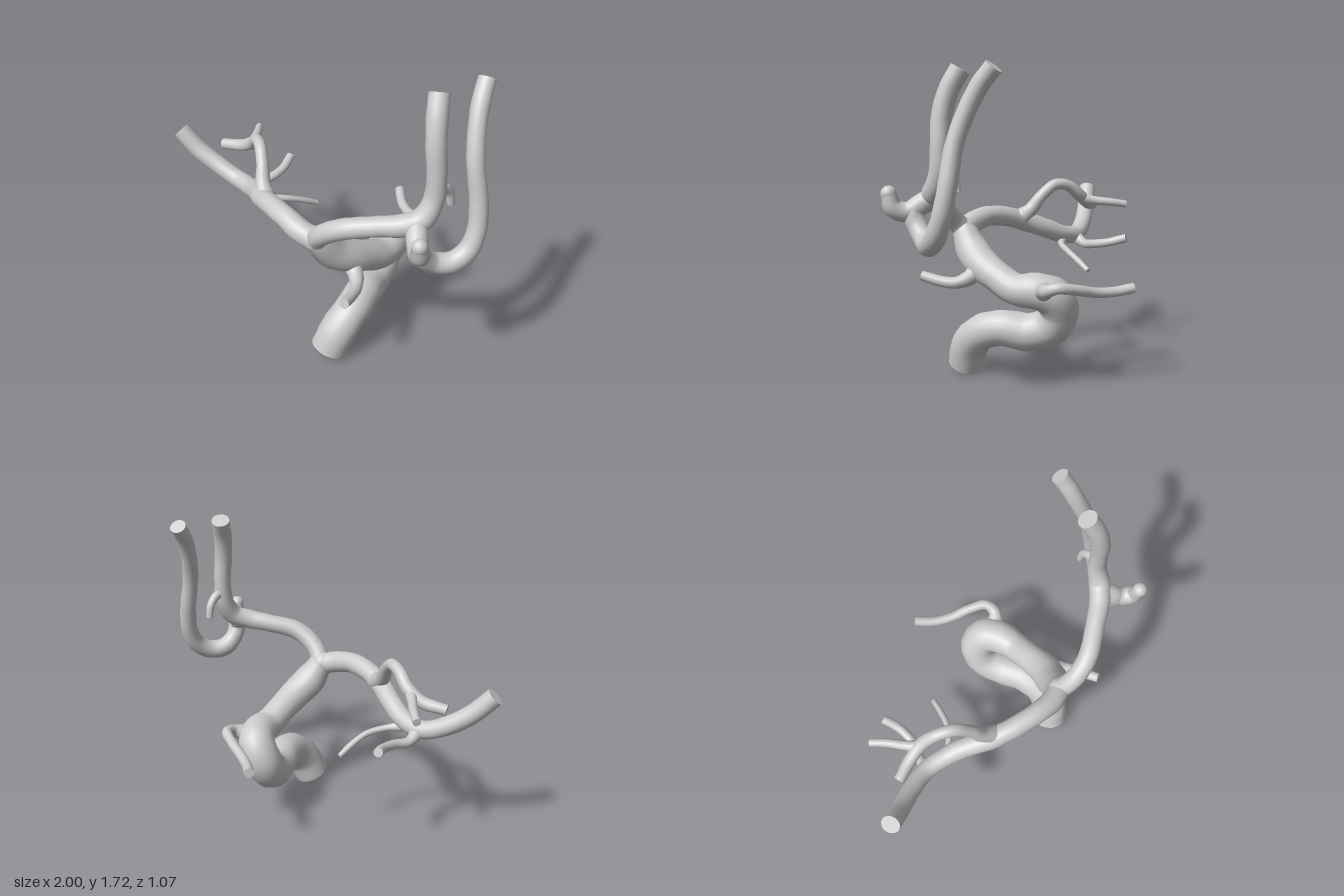
import * as THREE from 'three';

const SIDES = 20;
const material = new THREE.MeshStandardMaterial({ color: 0xcccccc, roughness: 0.8 });

// Flat disc closing one end ring of a tube
function endCap(center, ring, flip) {
  const pos = [center, ...ring].flatMap((p) => p.toArray());
  const index = [];
  for (let j = 1; j < ring.length; j++) index.push(0, flip ? j + 1 : j, flip ? j : j + 1);
  const geo = new THREE.BufferGeometry();
  geo.setAttribute('position', new THREE.Float32BufferAttribute(pos, 3));
  geo.setIndex(index);
  geo.computeVertexNormals();
  const capMaterial = material.clone();
  capMaterial.side = THREE.DoubleSide;
  return new THREE.Mesh(geo, capMaterial);
}

// Tube of varying radius through points [x, y, z, radius], slightly uneven like living tissue
function vessel(name, points) {
  const curve = new THREE.CatmullRomCurve3(points.map((p) => new THREE.Vector3(p[0], p[1], p[2])));
  const steps = Math.max(24, Math.round(curve.getLength() * 60));
  const geo = new THREE.TubeGeometry(curve, steps, 1, SIDES);
  const pos = geo.attributes.position;
  const nor = geo.attributes.normal;
  const n = new THREE.Vector3();
  const p = new THREE.Vector3();
  const rings = [[], []];
  for (let i = 0; i <= steps; i++) {
    const t = curve.getUtoTmapping(i / steps) * (points.length - 1);
    const k = Math.min(Math.floor(t), points.length - 2);
    const r = THREE.MathUtils.lerp(points[k][3], points[k + 1][3], THREE.MathUtils.smoothstep(t - k, 0, 1));
    const c = curve.getPointAt(i / steps);
    for (let j = 0; j <= SIDES; j++) {
      const v = i * (SIDES + 1) + j;
      n.fromBufferAttribute(nor, v);
      p.copy(c).addScaledVector(n, r);
      const bump = 1 + 0.025 * Math.sin(p.x * 37 + p.y * 23) * Math.sin(p.z * 41 - p.y * 29);
      p.copy(c).addScaledVector(n, r * bump);
      pos.setXYZ(v, p.x, p.y, p.z);
      if (i === 0) rings[0].push(p.clone());
      if (i === steps) rings[1].push(p.clone());
    }
  }
  const group = new THREE.Group();
  group.name = name;
  const wall = new THREE.Mesh(geo, material);
  wall.name = name + 'Wall';
  group.add(wall);
  rings.forEach((ring, e) => {
    const cap = endCap(curve.getPointAt(e), ring, e === 1);
    cap.name = name + (e ? 'EndCap' : 'StartCap');
    group.add(cap);
  });
  return group;
}

// Rounded swelling where vessels meet or end
function bulb(name, x, y, z, r) {
  const mesh = new THREE.Mesh(new THREE.SphereGeometry(r, 20, 14), material);
  mesh.name = name;
  mesh.position.set(x, y, z);
  return mesh;
}

export function createModel() {
  const model = new THREE.Group();
  model.name = 'arteryTree';

  model.add(
    // Thick S-shaped trunk
    vessel('mainTrunk', [
      [0.305, 0.015, 0.39, 0.105], [0.33, 0.13, 0.345, 0.105], [0.34, 0.22, 0.25, 0.1],
      [0.31, 0.255, 0.13, 0.1], [0.25, 0.24, -0.01, 0.105], [0.21, 0.28, -0.12, 0.11],
      [0.21, 0.37, -0.18, 0.108], [0.26, 0.46, -0.175, 0.108], [0.31, 0.49, -0.1, 0.1],
      [0.335, 0.49, 0.01, 0.087], [0.335, 0.54, 0.13, 0.085], [0.325, 0.6, 0.25, 0.092],
      [0.29, 0.67, 0.35, 0.095], [0.26, 0.76, 0.42, 0.075], [0.24, 0.8, 0.44, 0.05],
    ]),
    bulb('forkBulb', 0.25, 0.775, 0.435, 0.066),

    // Long side branch on the model's right
    vessel('rightBranch', [
      [0.27, 0.76, 0.43, 0.065], [0.16, 0.795, 0.46, 0.063], [0.04, 0.82, 0.455, 0.06],
      [-0.1, 0.81, 0.425, 0.058], [-0.22, 0.775, 0.38, 0.06], [-0.36, 0.715, 0.3, 0.058],
      [-0.47, 0.67, 0.255, 0.055], [-0.6, 0.655, 0.235, 0.052], [-0.72, 0.7, 0.265, 0.053],
      [-0.85, 0.79, 0.32, 0.053], [-0.955, 0.91, 0.37, 0.052],
    ]),
    vessel('rightArchedTwig', [
      [-0.2, 0.79, 0.375, 0.055], [-0.26, 0.84, 0.34, 0.042], [-0.31, 0.92, 0.295, 0.035],
      [-0.38, 0.985, 0.245, 0.034], [-0.46, 0.975, 0.2, 0.034], [-0.54, 0.91, 0.165, 0.038],
      [-0.63, 0.855, 0.17, 0.035], [-0.76, 0.83, 0.21, 0.031],
    ]),
    vessel('rightUpperTwig', [
      [-0.56, 0.89, 0.16, 0.032], [-0.61, 0.875, 0.1, 0.027],
      [-0.67, 0.865, 0.02, 0.024], [-0.735, 0.85, -0.05, 0.022],
    ]),
    vessel('rightLowerTwig', [
      [-0.58, 0.64, 0.22, 0.04], [-0.57, 0.605, 0.15, 0.028], [-0.535, 0.615, 0.06, 0.026],
      [-0.535, 0.635, -0.05, 0.026], [-0.57, 0.665, -0.15, 0.026],
    ]),
    vessel('rightThinTwig', [
      [-0.46, 0.63, 0.245, 0.03], [-0.39, 0.615, 0.2, 0.019], [-0.32, 0.595, 0.11, 0.018],
      [-0.285, 0.555, 0.02, 0.018], [-0.26, 0.505, -0.07, 0.015],
    ]),

    // Rising side branch on the model's left
    vessel('leftBranch', [
      [0.25, 0.74, 0.42, 0.06], [0.3, 0.82, 0.455, 0.055], [0.37, 0.885, 0.46, 0.055],
      [0.46, 0.94, 0.435, 0.055], [0.6, 0.98, 0.345, 0.053], [0.71, 1.005, 0.27, 0.058],
      [0.77, 1.04, 0.205, 0.06], [0.79, 1.14, 0.15, 0.053], [0.79, 1.28, 0.14, 0.05],
      [0.775, 1.42, 0.14, 0.052], [0.75, 1.55, 0.115, 0.053], [0.715, 1.66, 0.065, 0.052],
    ]),
    vessel('leftSpur', [
      [0.785, 1.2, 0.14, 0.03], [0.795, 1.18, 0.08, 0.026],
      [0.8, 1.13, 0.04, 0.024], [0.8, 1.06, 0.025, 0.02],
    ]),
    // Hooked vessel dipping down, then climbing behind
    vessel('leftHook', [
      [0.76, 1.01, 0.235, 0.055], [0.82, 0.95, 0.295, 0.055], [0.825, 0.87, 0.265, 0.052],
      [0.845, 0.81, 0.2, 0.056], [0.9, 0.8, 0.125, 0.056], [0.94, 0.85, 0.05, 0.054],
      [0.95, 0.95, 0.0, 0.05], [0.93, 1.1, -0.025, 0.048], [0.885, 1.3, -0.035, 0.046],
      [0.845, 1.45, -0.075, 0.046], [0.815, 1.57, -0.13, 0.047], [0.79, 1.665, -0.2, 0.046],
    ]),
    vessel('leftStub', [
      [0.79, 0.98, 0.26, 0.05], [0.85, 0.945, 0.325, 0.052],
      [0.895, 0.97, 0.365, 0.05], [0.905, 1.04, 0.385, 0.04],
    ]),
    bulb('leftStubTip', 0.905, 1.04, 0.385, 0.041),

    // Fine offshoots of the trunk
    vessel('backTwig', [
      [0.34, 0.5, -0.17, 0.055], [0.395, 0.52, -0.225, 0.036], [0.385, 0.54, -0.29, 0.03],
      [0.3, 0.525, -0.345, 0.029], [0.18, 0.495, -0.395, 0.028],
      [0.09, 0.49, -0.45, 0.028], [0.005, 0.505, -0.525, 0.028],
    ]),
    vessel('frontTwig', [
      [0.34, 0.58, 0.26, 0.06], [0.41, 0.53, 0.29, 0.042], [0.46, 0.51, 0.34, 0.032],
      [0.5, 0.52, 0.42, 0.03], [0.535, 0.545, 0.51, 0.028],
    ]),
  );
  return model;
}
